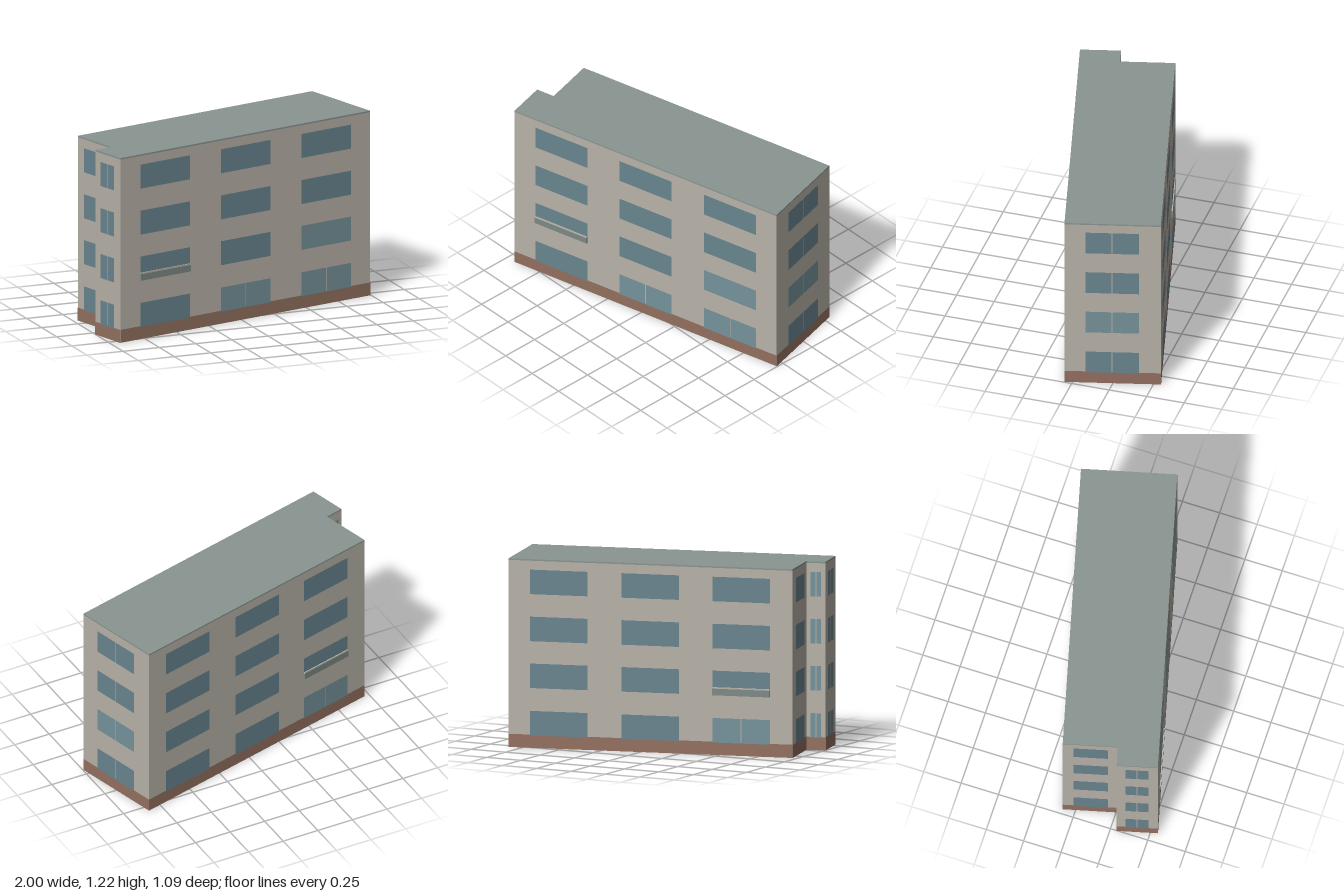
import * as THREE from 'three';

const HEIGHT = 1.215, ROOF = 0.01, BASE = 0.085;
const FLOORS = [0.08, 0.385, 0.687, 0.99]; // window sill heights
const WIN_H = 0.158;

const mat = (color, side = THREE.FrontSide) => new THREE.MeshStandardMaterial({ color, side });
const wallMat = mat(0xb8b2a8, THREE.DoubleSide);
const baseMat = mat(0x93705f);
const glassMat = mat(0x69858f);
const paleGlassMat = mat(0x75929a);
const panelMat = mat(0x7d8a86);
const railMat = mat(0xb8b2a8);
const roofMat = mat(0x8a9591);

// Footprint in the building's own axes: u along the front, w towards the back
const corner = (u, w) => new THREE.Vector2(
  -0.935 + 0.968 * u - 0.249 * w,
  0.546 - 0.249 * u - 0.968 * w
);
const corners = [[0, 0], [1.993, 0], [1.993, 0.615], [0.125, 0.615], [0.125, 0.263], [0, 0.263]]
  .map(([u, w]) => corner(u, w));

// Upright rectangle on a facade, centred on x and standing on y
function panel(parent, name, x, y, w, h, z, material) {
  const mesh = new THREE.Mesh(new THREE.PlaneGeometry(w, h), material);
  mesh.name = name;
  mesh.position.set(x, y + h / 2, z);
  parent.add(mesh);
}

// Window of one pane, or two panes with a narrow gap
function addWindow(parent, x, y, w, split, material) {
  if (!split) return panel(parent, 'window', x, y, w, WIN_H, 0.003, material);
  const gap = Math.min(0.006, w * 0.07), pane = (w - gap) / 2;
  for (const s of [-1, 1])
    panel(parent, 'windowPane', x + s * (pane + gap) / 2, y, pane, WIN_H, 0.003, material);
}

// Shallow balustrade in front of a window
function addBalcony(parent, x, y, w) {
  const balcony = new THREE.Group();
  balcony.name = 'balcony';
  for (const [name, y0, h, material] of [['balconyPanel', 0, 0.043, panelMat], ['handrail', 0.043, 0.009, railMat]]) {
    const mesh = new THREE.Mesh(new THREE.BoxGeometry(w, h, 0.008), material);
    mesh.name = name;
    mesh.position.set(x, y + y0 + h / 2, 0.006);
    balcony.add(mesh);
  }
  parent.add(balcony);
}

// Facades in order around the footprint; xs = window centres from the left corner
// split and pale take (column, floor)
const never = () => false, always = () => true;
const facades = [
  { name: 'frontFacade', xs: [0.357, 0.998, 1.641], w: 0.395, balcony: 0,
    split: (c, f) => f === 0 && c > 0,
    pale: (c, f) => (f === 0 && c > 0) || (f === 1 && c === 2) },
  { name: 'rightFacade', xs: [0.304], w: 0.342, split: always, pale: (c, f) => f === 1 },
  { name: 'backFacade', xs: [0.332, 0.934, 1.53], w: 0.378, balcony: 2,
    split: (c, f) => f === 0 && c === 2, pale: (c, f) => f === 0 && c === 2 },
  { name: 'leftFacade', xs: [0.18], w: 0.22, split: never, pale: never },
  { name: 'recessFacade', xs: [0.064], w: 0.07, split: always, pale: always },
  { name: 'wingFacade', xs: [0.13], w: 0.145, split: always, pale: never },
];

export function createModel() {
  const building = new THREE.Group();
  building.name = 'apartmentBlock';

  facades.forEach((f, i) => {
    const p = corners[i], q = corners[(i + 1) % corners.length];
    const length = p.distanceTo(q);
    const facade = new THREE.Group();
    facade.name = f.name;
    facade.position.set(p.x, 0, p.y);
    facade.rotation.y = Math.atan2(p.y - q.y, q.x - p.x);

    panel(facade, 'wall', length / 2, 0, length, HEIGHT - ROOF, 0, wallMat);
    panel(facade, 'plinth', length / 2, 0, length, BASE, 0.0015, baseMat);
    f.xs.forEach((x, c) => FLOORS.forEach((y, floor) =>
      addWindow(facade, x, y, f.w, f.split(c, floor), f.pale(c, floor) ? paleGlassMat : glassMat)));
    if (f.balcony !== undefined) addBalcony(facade, f.xs[f.balcony], FLOORS[1], f.w);
    building.add(facade);
  });

  // Flat roof following the footprint; the underside of the building stays open
  const outline = new THREE.Shape(corners.map(c => new THREE.Vector2(c.x, -c.y)));
  const roof = new THREE.Mesh(
    new THREE.ExtrudeGeometry(outline, { depth: ROOF, bevelEnabled: false }), roofMat);
  roof.name = 'roof';
  roof.rotation.x = -Math.PI / 2;
  roof.position.y = HEIGHT - ROOF;
  building.add(roof);

  return building;
}
